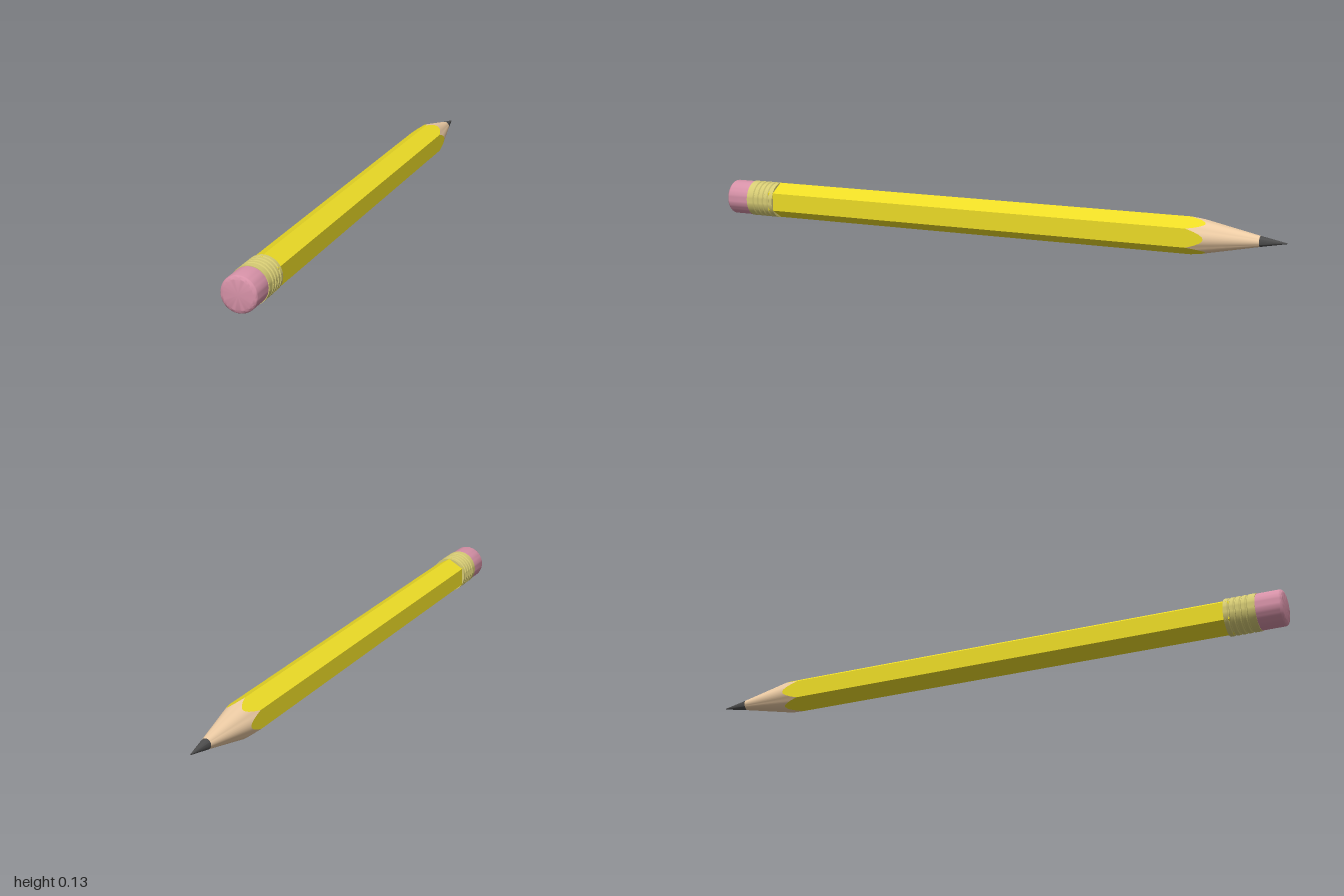
import * as THREE from 'three';
import { toCreasedNormals } from 'three/addons/utils/BufferGeometryUtils.js';

const R = 0.067;                       // hexagon corner radius
const FLAT = R * Math.cos(Math.PI / 6); // hexagon flat radius
const SIDES = 48;
const LEAD_T = 0.095, LEAD_R = 0.019;   // where the lead meets the wood
const FERRULE_T = 2.012, ERASER_T = 2.125, END_T = 2.218;

// Radius of a hexagon with a corner at angle 0
function hexRadius(a) {
  const third = Math.PI / 3;
  return FLAT / Math.cos((a % third) - third / 2);
}

// Scalloped edge left by sharpening: corners are cut further back than flats
function sharpenedEdge(a) {
  const r = hexRadius(a);
  return [r, 0.282 + ((r - FLAT) / (R - FLAT)) * 0.063];
}

// Skin between cross-sections; each is a function angle -> [radius, position along z]
function loft(sections) {
  const pos = [], index = [];
  sections.forEach((section, k) => {
    for (let i = 0; i < SIDES; i++) {
      const a = (i / SIDES) * Math.PI * 2;
      const [r, z] = section(a);
      pos.push(-Math.sin(a) * r, Math.cos(a) * r, z);
      if (k === 0) continue;
      const j = (i + 1) % SIDES, p = (k - 1) * SIDES, q = k * SIDES;
      index.push(p + i, p + j, q + j, p + i, q + j, q + i);
    }
  });
  const geo = new THREE.BufferGeometry();
  geo.setAttribute('position', new THREE.Float32BufferAttribute(pos, 3));
  geo.setIndex(index);
  geo.computeVertexNormals();
  return geo;
}

// Turned part along z from [radius, position] pairs
function turned(profile) {
  const geo = new THREE.LatheGeometry(profile.map(([r, t]) => new THREE.Vector2(r, t)), SIDES);
  geo.rotateX(Math.PI / 2);
  return toCreasedNormals(geo, 0.6);
}

export function createModel() {
  const model = new THREE.Group();
  model.name = 'pencil';
  const add = (name, geometry, color, flatShading = false) => {
    const mesh = new THREE.Mesh(geometry, new THREE.MeshStandardMaterial({ color, flatShading }));
    mesh.name = name;
    model.add(mesh);
  };

  // Lead point
  add('leadTip', turned([[0, 0], [0.0015, 0.001], [LEAD_R, LEAD_T]]), 0x4c4c4c);

  // Sharpened wood cone, from the round lead to the scalloped paint edge
  add('woodCone', loft([() => [LEAD_R, LEAD_T], sharpenedEdge]), 0xeccba4);

  // Painted six-sided barrel
  add('barrel', loft([sharpenedEdge, (a) => [hexRadius(a), FERRULE_T + 0.02]]), 0xeddc26, true);

  // Metal ferrule with crimped grooves
  const rim = 0.0668, groove = 0.0625;
  const ferrule = [[0.05, FERRULE_T], [rim, FERRULE_T]];
  for (let i = 0; i < 4; i++) {
    const t = FERRULE_T + 0.015 + i * 0.021;
    ferrule.push([rim, t], [groove, t + 0.003], [groove, t + 0.006], [rim, t + 0.009]);
  }
  ferrule.push([rim, ERASER_T], [0.05, ERASER_T]);
  add('ferrule', turned(ferrule), 0xd6cb74);

  // Eraser with a rounded end
  const eraserR = 0.0645, bevel = 0.014;
  const eraser = [[eraserR, ERASER_T - 0.005]];
  for (let i = 0; i <= 6; i++) {
    const a = (i / 6) * Math.PI / 2;
    eraser.push([eraserR - bevel + bevel * Math.cos(a), END_T - bevel + bevel * Math.sin(a)]);
  }
  eraser.push([0, END_T]);
  add('eraser', turned(eraser), 0xd792a8);

  // Lay the pencil diagonally on the ground
  model.rotation.y = Math.atan2(0.4551, 0.8904);
  model.position.set(-0.53, R, -1);
  const root = new THREE.Group();
  root.add(model);
  return root;
}
